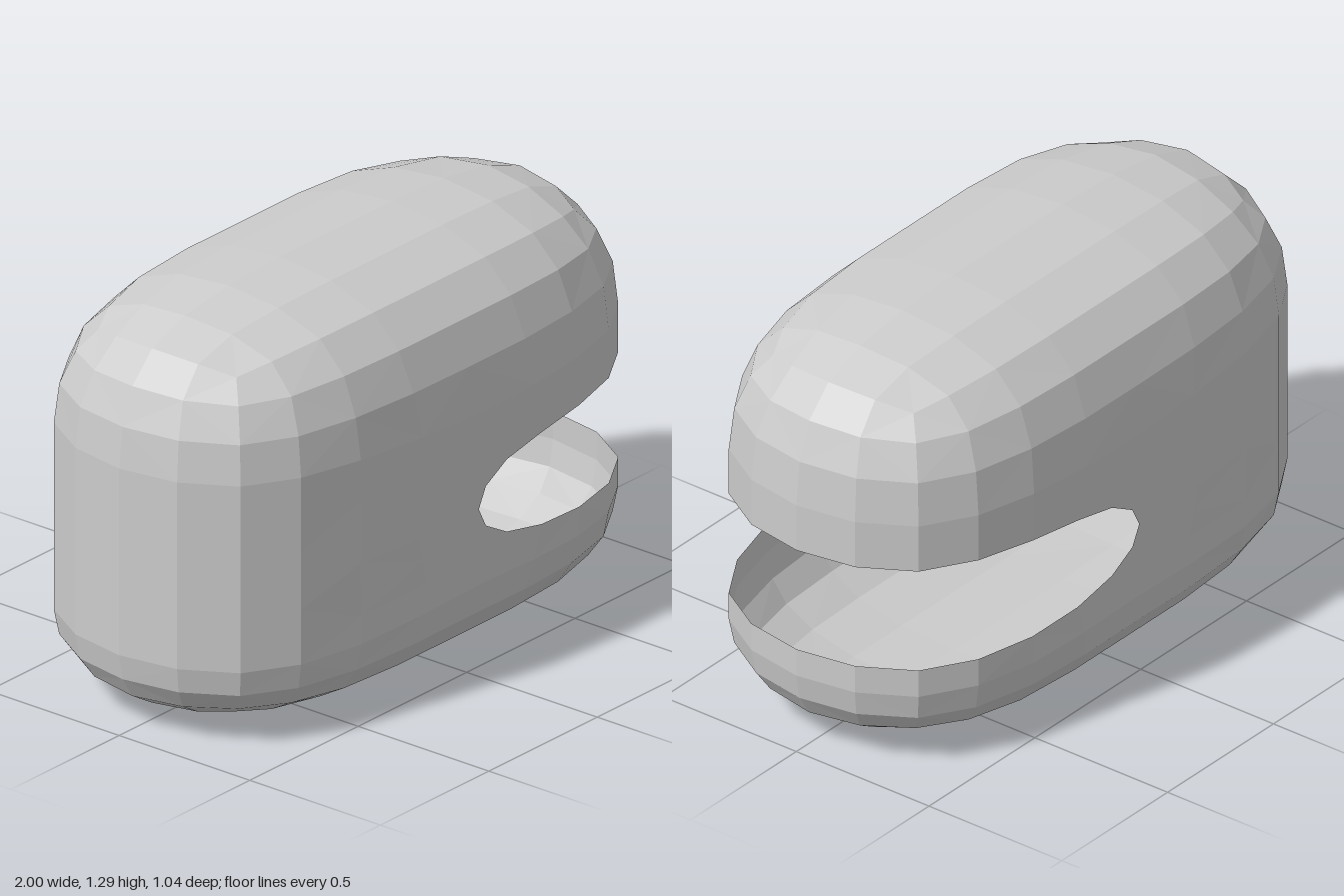
import * as THREE from 'three';

// Weighted sum of points: mix([w, p], [w, p], ...)
const mix = (...terms) => [0, 1, 2].map(k => terms.reduce((s, [w, p]) => s + w * p[k], 0));
const mean = pts => mix(...pts.map(p => [1 / pts.length, p]));

// One Catmull-Clark step on a quad mesh; open borders follow a cubic curve.
function subdivide({ points, quads }) {
  const centres = quads.map(q => mean(q.map(i => points[i])));
  const edges = new Map();
  const key = (a, b) => Math.min(a, b) + '_' + Math.max(a, b);
  const around = points.map(() => ({ faces: [], edges: [] }));
  quads.forEach((q, f) => q.forEach((a, k) => {
    const b = q[(k + 1) % 4], id = key(a, b);
    around[a].faces.push(f);
    if (!edges.has(id)) {
      const e = { a, b, faces: [], mid: mean([points[a], points[b]]) };
      edges.set(id, e);
      around[a].edges.push(e);
      around[b].edges.push(e);
    }
    edges.get(id).faces.push(f);
  }));
  const out = points.map((p, i) => {
    const border = around[i].edges.filter(e => e.faces.length === 1);
    if (border.length) return mix([0.5, p], [0.25, border[0].mid], [0.25, border[1].mid]);
    const n = around[i].edges.length;
    return mix([(n - 3) / n, p], [2 / n, mean(around[i].edges.map(e => e.mid))],
      [1 / n, mean(around[i].faces.map(f => centres[f]))]);
  });
  for (const e of edges.values()) {
    e.index = out.length;
    out.push(e.faces.length === 1 ? e.mid
      : mean([points[e.a], points[e.b], ...e.faces.map(f => centres[f])]));
  }
  const first = out.length;
  out.push(...centres);
  const next = [];
  quads.forEach((q, f) => q.forEach((a, k) => next.push([
    a, edges.get(key(a, q[(k + 1) % 4])).index, first + f, edges.get(key(q[(k + 3) % 4], a)).index,
  ])));
  return { points: out, quads: next };
}

// Box cage with the middle band left open on the +x half
function makeCage() {
  const xs = [-1.032, 0, 1.032], ys = [-0.011, 0.352, 0.692, 1.309], zs = [-0.52, 0.52];
  const points = [], quads = [];
  for (const x of xs) for (const y of ys) for (const z of zs) points.push([x, y, z]);
  const id = (i, j, k) => (i * 4 + j) * 2 + k;
  for (let i = 0; i < 2; i++) {
    for (let j = 0; j < 3; j++) {
      if (i === 1 && j === 1) continue;
      quads.push([id(i, j, 1), id(i + 1, j, 1), id(i + 1, j + 1, 1), id(i, j + 1, 1)]); // front
      quads.push([id(i + 1, j, 0), id(i, j, 0), id(i, j + 1, 0), id(i + 1, j + 1, 0)]); // back
    }
    quads.push([id(i, 3, 1), id(i + 1, 3, 1), id(i + 1, 3, 0), id(i, 3, 0)]); // top
    quads.push([id(i, 0, 0), id(i + 1, 0, 0), id(i + 1, 0, 1), id(i, 0, 1)]); // bottom
  }
  for (let j = 0; j < 3; j++) {
    quads.push([id(0, j, 0), id(0, j, 1), id(0, j + 1, 1), id(0, j + 1, 0)]); // closed end
    if (j !== 1) quads.push([id(2, j, 1), id(2, j, 0), id(2, j + 1, 0), id(2, j + 1, 1)]); // open end
  }
  return { points, quads };
}

export function createModel() {
  const grey = new THREE.MeshStandardMaterial({ color: 0xcccccc });
  grey.name = 'light grey';
  grey.flatShading = true;
  grey.side = THREE.DoubleSide;

  // Hollow rounded shell with a mouth-like slot
  const { points, quads } = subdivide(subdivide(makeCage()));
  const indexed = new THREE.BufferGeometry();
  indexed.setAttribute('position', new THREE.Float32BufferAttribute(points.flat(), 3));
  indexed.setIndex(quads.flatMap(([a, b, c, d]) => [a, b, c, a, c, d]));
  const geometry = indexed.toNonIndexed();
  geometry.computeVertexNormals();
  const shell = new THREE.Mesh(geometry, grey);
  shell.name = 'slottedShell';

  const model = new THREE.Group();
  model.name = 'roundedShell';
  model.add(shell);
  return model;
}
